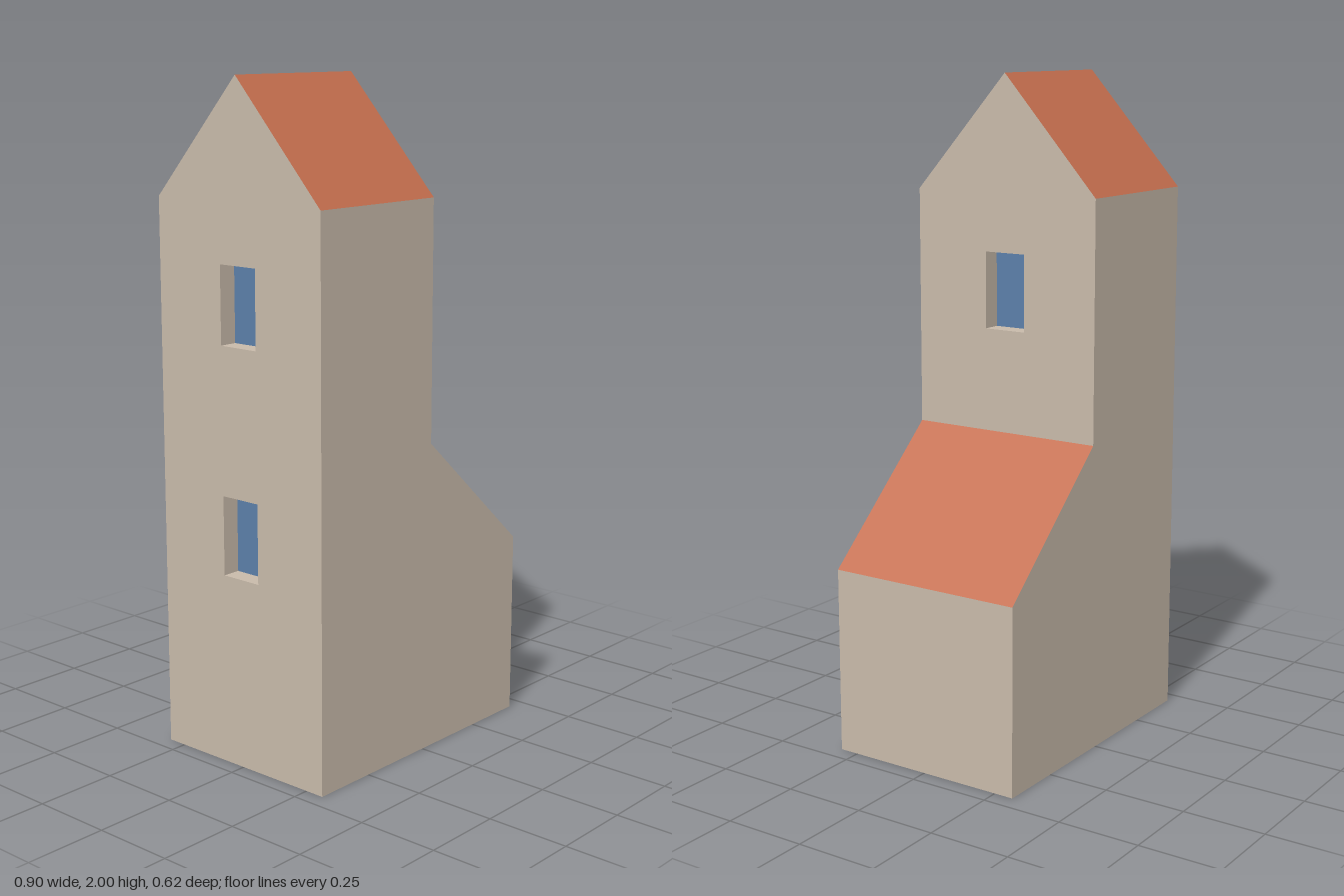
import * as THREE from 'three';

const wallMat = new THREE.MeshStandardMaterial({ name: 'stoneWall', color: 0xc8baaa, side: THREE.DoubleSide });
const roofMat = new THREE.MeshStandardMaterial({ name: 'terracottaRoof', color: 0xc46e4e, side: THREE.DoubleSide });
const glassMat = new THREE.MeshStandardMaterial({ name: 'blueGlass', color: 0x5b7fa9, side: THREE.DoubleSide });

// Main dimensions
const L = -0.45, R = 0.447, T = 0.028, D = 0.31;
const EAVE = 1.655, RIDGE = 2, LOW = 0.565, LEAN = 0.94;
const WIN = 0.0675, RECESS = 0.056;

export function createModel() {
  const model = new THREE.Group();
  model.name = 'towerHouse';

  const add = (parent, name, geometry, material) => {
    const mesh = new THREE.Mesh(geometry, material);
    mesh.name = name;
    parent.add(mesh);
    return mesh;
  };

  const outline = (points) => new THREE.Shape(points.map(([x, y]) => new THREE.Vector2(x, y)));

  // Flat four-cornered panel, corners counter-clockwise seen from outside
  const panel = (name, corners, material) => {
    const g = new THREE.BufferGeometry();
    g.setAttribute('position', new THREE.Float32BufferAttribute(corners.flat(), 3));
    g.setIndex([0, 1, 2, 0, 2, 3]);
    g.computeVertexNormals();
    return add(model, name, g, material);
  };

  // Front and back walls, stepping down to the lean-to
  const profile = outline([[L, 0], [R, 0], [R, LOW], [T, LEAN], [T, EAVE], [L, EAVE]]);
  add(model, 'frontWall', new THREE.ShapeGeometry(profile), wallMat).position.z = D;
  add(model, 'backWall', new THREE.ShapeGeometry(profile), wallMat).position.z = -D;

  // Gable wall with recessed windows; side is +1 for +x, -1 for -x
  const gable = (name, x, side, base, windows) => {
    const group = new THREE.Group();
    group.name = name;
    group.position.x = x;
    group.rotation.y = side * Math.PI / 2;
    const shape = outline([[-D, base], [D, base], [D, EAVE], [0, RIDGE], [-D, EAVE]]);
    for (const [y0, y1] of windows) {
      shape.holes.push(outline([[-WIN, y0], [-WIN, y1], [WIN, y1], [WIN, y0]]));
      const h = y1 - y0, mid = (y0 + y1) / 2;
      add(group, 'windowGlass', new THREE.PlaneGeometry(2 * WIN, h), glassMat).position.set(0, mid, -RECESS);
      for (const s of [-1, 1]) {
        const jamb = add(group, 'windowJamb', new THREE.PlaneGeometry(RECESS, h), wallMat);
        jamb.position.set(s * WIN, mid, -RECESS / 2);
        jamb.rotation.y = -s * Math.PI / 2;
        const sill = add(group, s < 0 ? 'windowSill' : 'windowHead', new THREE.PlaneGeometry(2 * WIN, RECESS), wallMat);
        sill.position.set(0, mid + s * h / 2, -RECESS / 2);
        sill.rotation.x = s * Math.PI / 2;
      }
    }
    add(group, 'gableWall', new THREE.ShapeGeometry(shape), wallMat);
    model.add(group);
  };
  gable('leftGable', T, 1, LEAN, [[1.25, 1.48]]);
  gable('rightGable', L, -1, 0, [[1.25, 1.48], [0.575, 0.812]]);

  // Low end wall and roofs; the base stays open
  panel('leanToEndWall', [[R, 0, D], [R, 0, -D], [R, LOW, -D], [R, LOW, D]], wallMat);
  panel('leanToRoof', [[T, LEAN, D], [R, LOW, D], [R, LOW, -D], [T, LEAN, -D]], roofMat);
  panel('frontRoofSlope', [[L, EAVE, D], [T, EAVE, D], [T, RIDGE, 0], [L, RIDGE, 0]], roofMat);
  panel('backRoofSlope', [[T, EAVE, -D], [L, EAVE, -D], [L, RIDGE, 0], [T, RIDGE, 0]], roofMat);

  return model;
}
